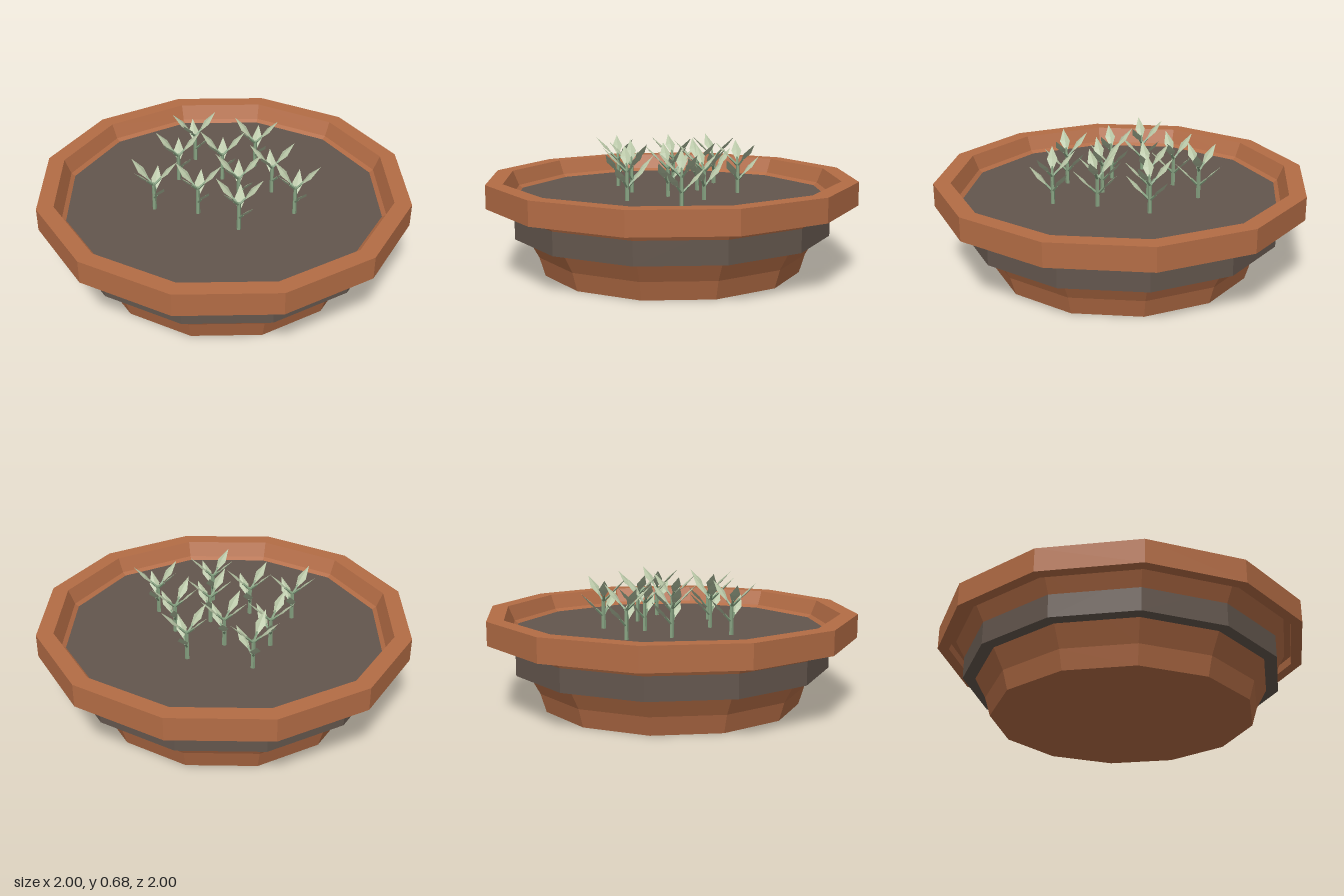
import * as THREE from 'three';

const SIDES = 12;
const SOIL_BOTTOM = 0.207;
const SOIL_TOP = 0.405;

function material(name, color) {
  const m = new THREE.MeshStandardMaterial({ color, flatShading: true });
  m.name = name;
  return m;
}

export function createModel() {
  const terracotta = material('terracotta', 0xb36c45);
  const earth = material('earth', 0x63564d);
  const leafGreen = material('leafGreen', 0xb6c4a4);
  const stemGreen = material('stemGreen', 0x86a281);

  const model = new THREE.Group();
  model.name = 'plantedBowl';

  function add(parent, name, geometry, mat) {
    const mesh = new THREE.Mesh(geometry, mat);
    mesh.name = name;
    parent.add(mesh);
    return mesh;
  }

  // Pot: underside, flared wall, overhanging hollow lip, rim and inner wall
  const profile = [
    [0, 0], [0.7, 0], [0.73, 0.1], [0.905, 0.42], [0.94, 0.42], [0.94, 0.375],
    [1, 0.375], [1, 0.5], [0.91, 0.5], [0.875, 0.42], [0.84, 0.395],
  ].map(([r, y]) => new THREE.Vector2(r, y));
  add(model, 'pot', new THREE.LatheGeometry(profile, SIDES), terracotta);

  // Soil block, wide enough to show as a band around the pot
  const soilHeight = SOIL_TOP - SOIL_BOTTOM;
  const soil = add(model, 'soil', new THREE.CylinderGeometry(0.855, 0.855, soilHeight, SIDES), earth);
  soil.position.y = SOIL_BOTTOM + soilHeight / 2;

  // Shared seedling parts; leaf and stalk run outward along +y before tilting
  const stemHeight = 0.16;
  const stemGeo = new THREE.CylinderGeometry(0.01, 0.012, stemHeight, 5);
  stemGeo.translate(0, stemHeight / 2, 0);
  const stalkGeo = new THREE.CylinderGeometry(0.006, 0.007, 0.06, 4);
  stalkGeo.translate(0, 0.03, 0);
  const leafGeo = new THREE.OctahedronGeometry(1);
  leafGeo.scale(0.028, 0.077, 0.006);
  leafGeo.translate(0, 0.103, 0);

  // Seedlings: x, z, turn
  const seedlings = [
    [-0.09, -0.35, -0.05], [-0.385, -0.17, 0.28], [0.16, -0.21, 0.2],
    [0.385, -0.135, -0.1], [-0.125, -0.12, 0.1], [0.105, -0.005, 0.12],
    [-0.295, 0.05, 0.15], [0.02, 0.215, 0], [0.275, 0.175, 0.05], [-0.175, 0.345, 0],
  ];
  for (const [x, z, turn] of seedlings) {
    const seedling = new THREE.Group();
    seedling.name = 'seedling';
    seedling.position.set(x, SOIL_TOP, z);
    seedling.rotation.y = turn;
    add(seedling, 'stem', stemGeo, stemGreen);

    // Five leaves alternate between an upper and a lower tier
    for (let i = 0; i < 5; i++) {
      const branch = new THREE.Group();
      branch.name = 'leafBranch';
      branch.position.y = i % 2 ? 0.068 : 0.148;
      branch.rotation.set(Math.PI / 4, (i * 2 * Math.PI) / 5, 0, 'YXZ');
      add(branch, 'stalk', stalkGeo, stemGreen);
      add(branch, 'leaf', leafGeo, leafGreen);
      seedling.add(branch);
    }
    model.add(seedling);
  }

  return model;
}
